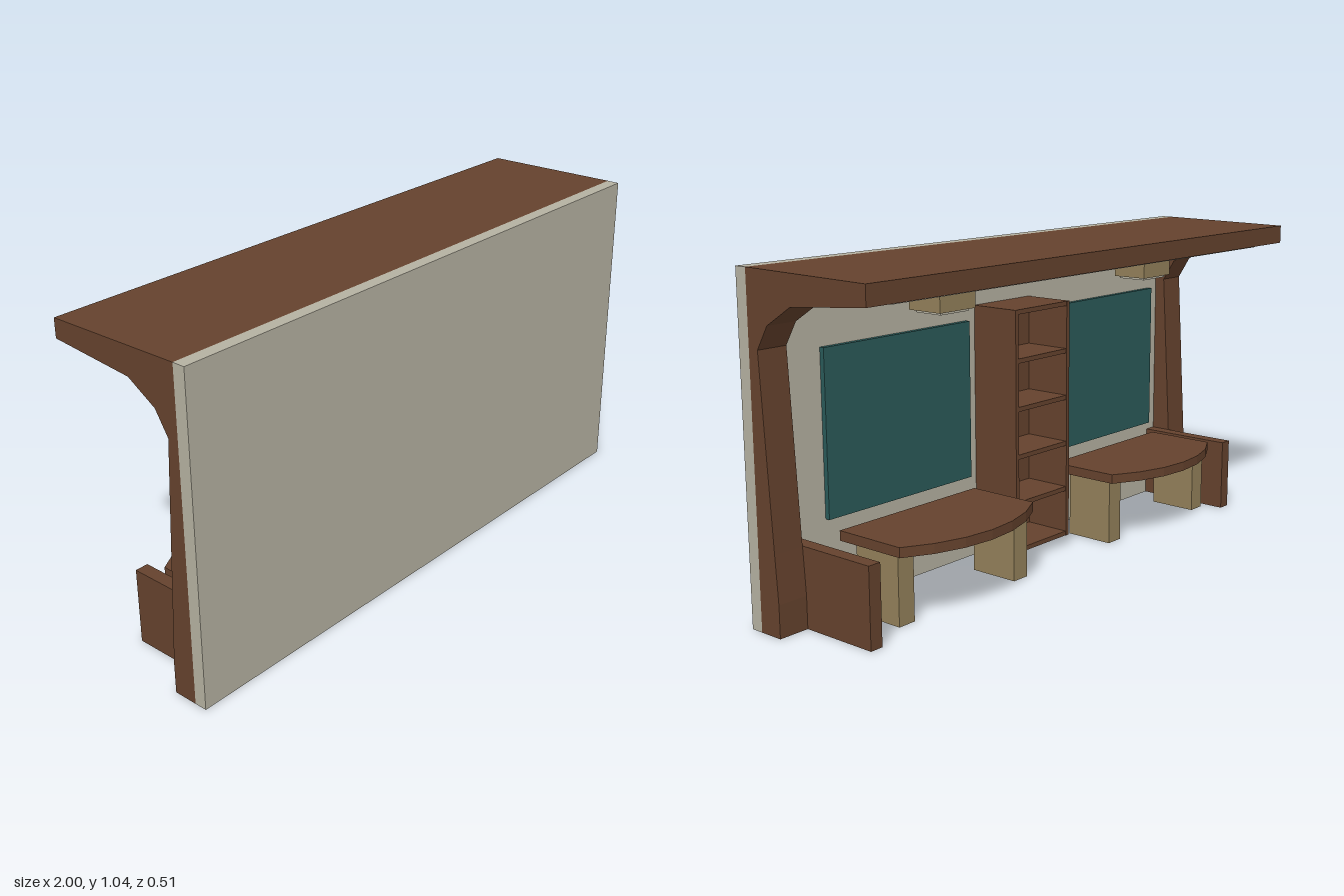
import * as THREE from 'three';

const mat = (name, color) => {
  const m = new THREE.MeshStandardMaterial({ color });
  m.name = name;
  return m;
};

export function createModel() {
  const root = new THREE.Group();
  const wood = mat('brown wood', 0x65422d);
  const plaster = mat('warm grey', 0xb5b1a1);
  const tan = mat('tan', 0x93805a);
  const teal = mat('teal', 0x2a5a59);

  const add = (name, geometry, material) => {
    const mesh = new THREE.Mesh(geometry, material);
    mesh.name = name;
    root.add(mesh);
    return mesh;
  };
  // Box given by its low and high limits on each axis
  const box = (name, material, [x0, x1], [y0, y1], [z0, z1]) => {
    const mesh = add(name, new THREE.BoxGeometry(x1 - x0, y1 - y0, z1 - z0), material);
    mesh.position.set((x0 + x1) / 2, (y0 + y1) / 2, (z0 + z1) / 2);
    return mesh;
  };
  // Side profile of [z, y] points, drawn out along x
  const profile = (name, material, points, x0, x1) => {
    const shape = new THREE.Shape(points.map(p => new THREE.Vector2(...p)));
    const g = new THREE.ExtrudeGeometry(shape, { depth: x1 - x0, bevelEnabled: false });
    g.rotateY(-Math.PI / 2);
    return add(name, g.translate(x1, 0, 0), material);
  };

  // Wall, roof and ceiling
  box('wall', plaster, [-1, 1], [0, 1.037], [0.212, 0.253]);
  profile('roof', wood, [[0.212, 1.037], [-0.253, 1.031], [-0.253, 0.971], [0.212, 0.968]], -0.9, 0.9);
  box('ceilingPanel', plaster, [-0.88, 0.88], [0.963, 0.972], [-0.222, 0.19]);

  // Curved end frames with low side screens
  const frame = [
    [0.212, 0], [0.212, 1.037], [-0.253, 1.031], [-0.253, 0.971], [0.035, 0.945],
    [0.132, 0.886], [0.176, 0.815], [0.142, 0.245], [0.133, 0.1], [0.133, 0],
  ];
  for (const side of [-1, 1]) {
    const span = (a, b) => [side * a, side * b].sort((p, q) => p - q);
    profile('endFrame', wood, frame, ...span(0.9, 1));
    box('sideScreen', wood, span(0.857, 0.9), [0, 0.246], [-0.127, 0.212]);
  }

  // Bookcase between the two desks
  const left = 0.1, right = -0.168, board = 0.014;
  box('bookcaseSide', wood, [left - board, left], [0.035, 0.83], [0.038, 0.212]);
  box('bookcaseSide', wood, [right, right + board], [0.035, 0.83], [0.038, 0.212]);
  box('bookcaseBack', wood, [right + board, left - board], [0.035, 0.83], [0.2, 0.212]);
  for (let i = 0; i < 6; i++) {
    const y = 0.035 + i * 0.156;
    box('bookcaseShelf', wood, [right + board, left - board], [y, y + 0.015], [0.04, 0.2]);
  }

  // Two work places: desk with bowed front, legs, pinboard and lamp
  const half = 0.29, bow = 0.09, edge = 0.077, steps = 6;
  const radius = (half * half + bow * bow) / (2 * bow);
  const sweep = Math.asin(half / radius);
  for (const x of [0.445, -0.545]) {
    const outline = [new THREE.Vector2(half, -0.17), new THREE.Vector2(half, edge)];
    for (let i = 1; i <= steps; i++) {
      const a = sweep * (1 - (2 * i) / steps);
      outline.push(new THREE.Vector2(radius * Math.sin(a), edge + bow - radius + radius * Math.cos(a)));
    }
    outline.push(new THREE.Vector2(-half, -0.17));
    const top = new THREE.ExtrudeGeometry(new THREE.Shape(outline), { depth: 0.031, bevelEnabled: false });
    top.rotateX(-Math.PI / 2);
    add('deskTop', top, wood).position.set(x, 0.214, 0);

    for (const s of [-1, 1]) {
      const c = x + s * 0.25;
      box('deskLeg', tan, [c - 0.031, c + 0.031], [0, 0.214], [-0.06, 0.11]);
    }
    box('pinboard', teal, [x - 0.305, x + 0.305], [0.275, 0.785], [0.196, 0.212]);
    box('lampHousing', tan, [x - 0.075, x + 0.075], [0.878, 0.963], [-0.042, 0.081]);
    box('lampDiffuser', plaster, [x - 0.06, x + 0.06], [0.87, 0.878], [-0.03, 0.069]);
  }
  return root;
}
